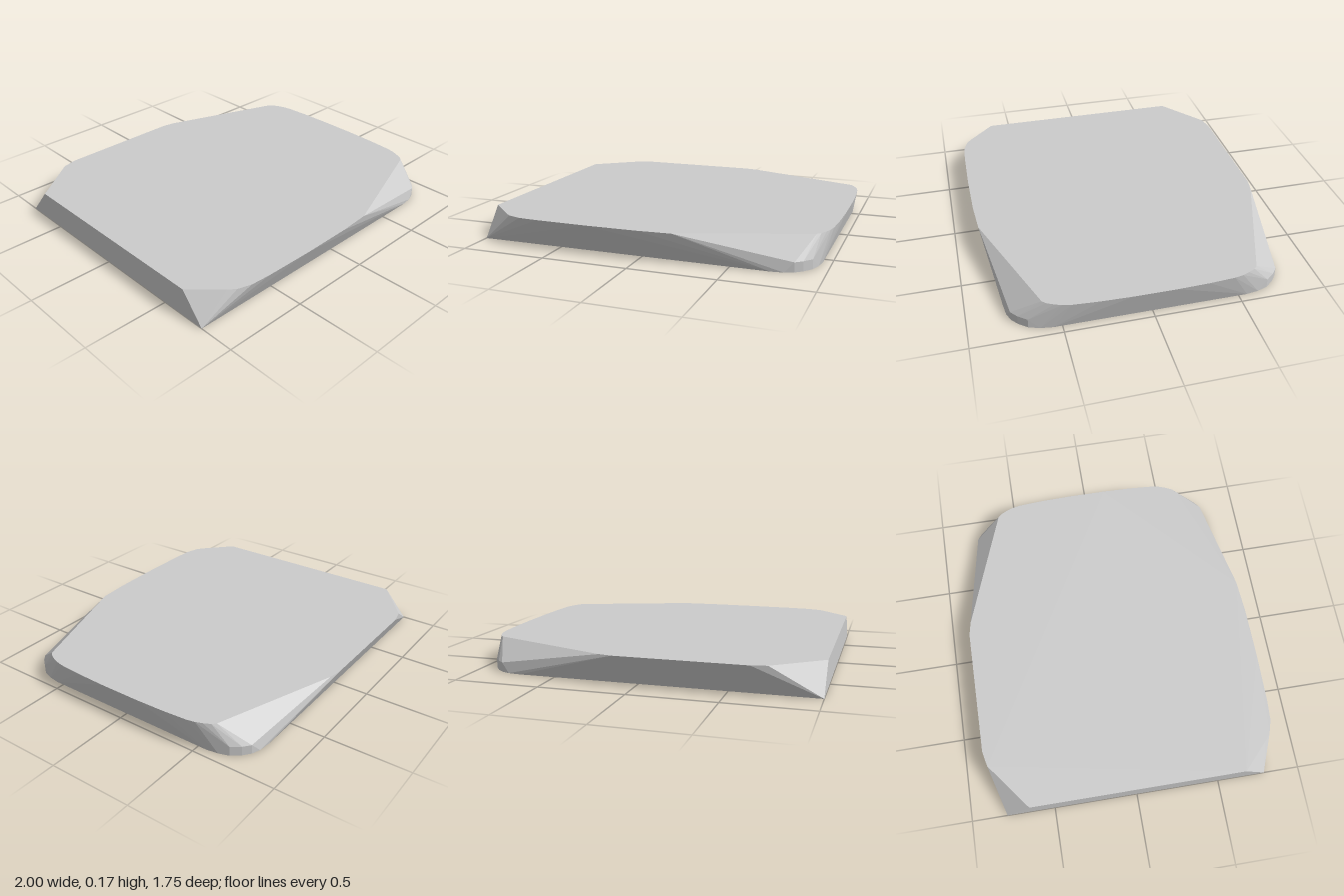
import * as THREE from 'three';
import { ConvexGeometry } from 'three/addons/geometries/ConvexGeometry.js';

const HEIGHT = 0.17;

// Top rim along the front and back sides, [x, z] from the straight edge round to the bowed edge
const frontRim = [[-1, 0.65], [-0.84, 0.805], [-0.8, 0.838], [-0.72, 0.863], [-0.6, 0.871], [-0.3, 0.875], [0, 0.871], [0.2, 0.858]];
const backRim = [[-1, -0.64], [-0.72, -0.855], [-0.63, -0.875], [0.12, -0.875], [0.2, -0.86]];

// Parts shared by both sides, mirrored in z
const bowedRim = [[0.92, 0.6], [0.94, 0.58], [0.96, 0.54], [0.975, 0.5], [0.985, 0.45], [0.995, 0.3], [1, 0.12]];
const base = [[-1, 0.788], [0.72, 0.79], [0.79, 0.782], [0.84, 0.763], [0.88, 0.73], [0.92, 0.68], [0.94, 0.62], [0.95, 0.55]];
const cornerStep = [[0.84, 0.763], [0.88, 0.73], [0.92, 0.68]];

export function createModel() {
  const group = new THREE.Group();
  group.name = 'roundedSlab';

  const points = [];
  const add = (outline, y, side = 1) =>
    outline.forEach(([x, z]) => points.push(new THREE.Vector3(x, y, z * side)));

  add(frontRim, HEIGHT);
  add(backRim, HEIGHT);
  for (const side of [1, -1]) {
    add(bowedRim, HEIGHT, side);
    add(base, 0, side);
    add(cornerStep, 0.055, side); // short upright band at the rounded corners
  }

  // The faceted block spans all of these outlines
  const slab = new THREE.Mesh(
    new ConvexGeometry(points),
    new THREE.MeshStandardMaterial({ color: 0xcccccc, flatShading: true })
  );
  slab.name = 'slab';
  group.add(slab);
  return group;
}
